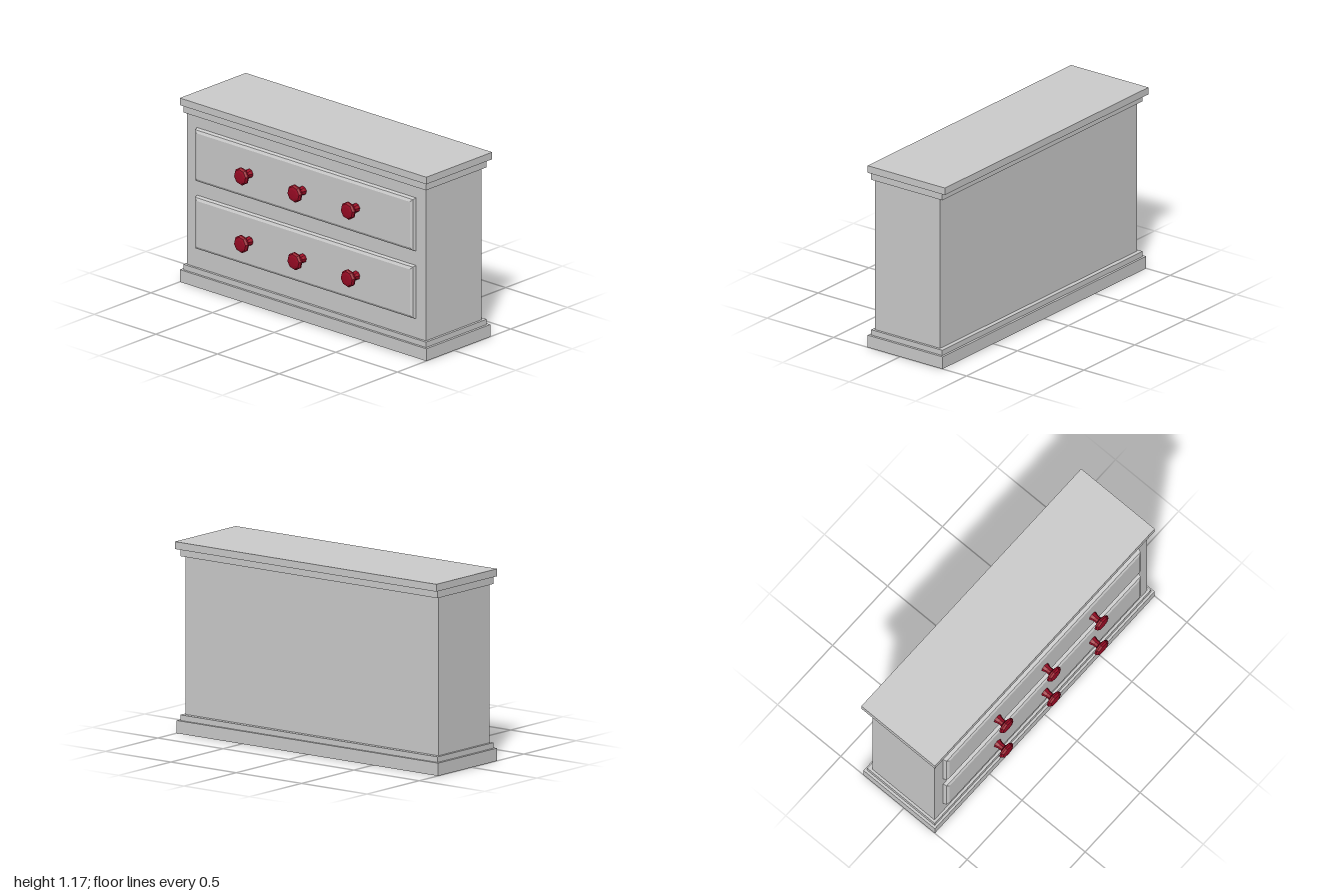
import * as THREE from 'three';

const grey = new THREE.MeshStandardMaterial({ color: 0xcccccc, flatShading: true });
const red = new THREE.MeshStandardMaterial({ color: 0x980b24, flatShading: true });

// Box given by half width, bottom/top and back/front
function slab(name, halfX, y0, y1, z0, z1) {
  const mesh = new THREE.Mesh(new THREE.BoxGeometry(2 * halfX, y1 - y0, z1 - z0), grey);
  mesh.position.set(0, (y0 + y1) / 2, (z0 + z1) / 2);
  mesh.name = name;
  return mesh;
}

// Raised drawer front with bevelled rim; its back half sits inside the carcass
function drawerGeometry() {
  const w = 0.866, h = 0.146;
  const shape = new THREE.Shape([[-w, -h], [w, -h], [w, h], [-w, h]].map(p => new THREE.Vector2(...p)));
  return new THREE.ExtrudeGeometry(shape, {
    depth: 0.01, bevelThickness: 0.031, bevelSize: 0.023, bevelSegments: 2,
  });
}

// Eight-sided turned knob pointing towards +z
function knobGeometry() {
  const profile = [
    [0, 0], [0.029, 0], [0.027, 0.013], [0.022, 0.026], [0.022, 0.052],
    [0.036, 0.058], [0.055, 0.065], [0.056, 0.076], [0.047, 0.088], [0.03, 0.092], [0, 0.093],
  ].map(p => new THREE.Vector2(...p));
  return new THREE.LatheGeometry(profile, 8).rotateX(Math.PI / 2).rotateZ(0.14);
}

export function createModel() {
  const model = new THREE.Group();
  model.name = 'chestOfDrawers';

  // Carcass with stepped base and top
  model.add(
    slab('plinth', 1, 0, 0.078, -0.32, 0.245),
    slab('plinthMoulding', 0.984, 0.078, 0.112, -0.305, 0.23),
    slab('carcass', 0.968, 0.112, 1.08, -0.276, 0.214),
    slab('topMoulding', 0.984, 1.08, 1.127, -0.305, 0.23),
    slab('top', 1, 1.127, 1.172, -0.337, 0.245),
  );

  // Two drawers, three knobs each
  const front = drawerGeometry(), knob = knobGeometry();
  [['lowerDrawer', 0.404], ['upperDrawer', 0.835]].forEach(([name, y]) => {
    const drawer = new THREE.Group();
    drawer.name = name;
    drawer.position.y = y;
    const panel = new THREE.Mesh(front, grey);
    panel.name = 'drawerFront';
    panel.position.z = 0.204;
    drawer.add(panel);
    for (const x of [-0.433, 0, 0.433]) {
      const pull = new THREE.Mesh(knob, red);
      pull.name = 'knob';
      pull.position.set(x, 0, 0.244);
      drawer.add(pull);
    }
    model.add(drawer);
  });
  return model;
}
